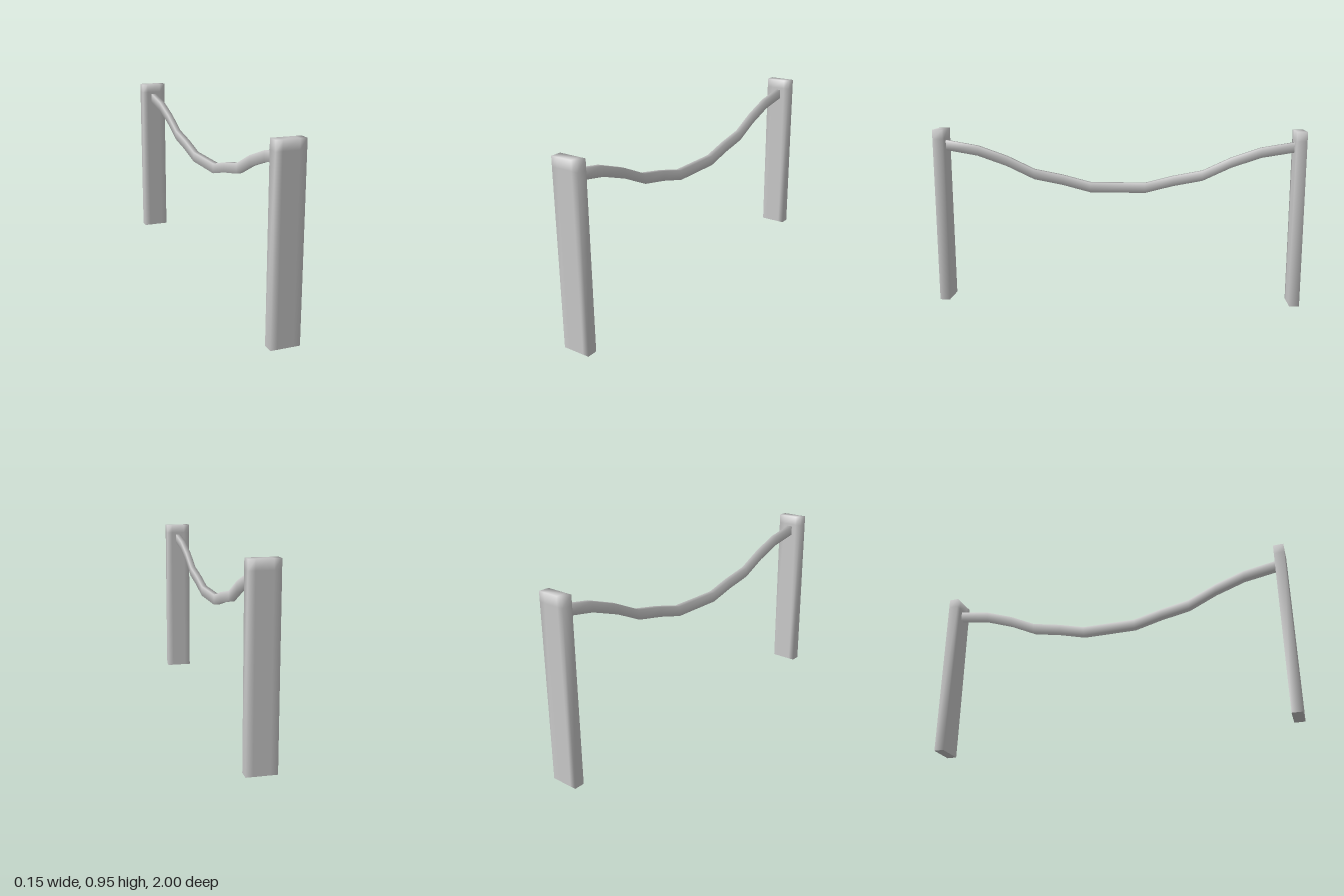
import * as THREE from 'three';
import { mergeVertices } from 'three/addons/utils/BufferGeometryUtils.js';

const material = new THREE.MeshStandardMaterial({ color: 0xcccccc });

// Share corners so that the shading runs softly over the edges
function soften(geometry) {
  geometry.deleteAttribute('normal');
  geometry.deleteAttribute('uv');
  geometry.clearGroups();
  const merged = mergeVertices(geometry, 1e-4);
  merged.computeVertexNormals();
  return merged;
}

// Upright slab with supporting loops near its edges and a crisp flat foot
function postGeometry() {
  const xs = [-0.074, -0.04, 0.04, 0.074];
  const ys = [0, 0.905, 0.955];
  const box = new THREE.BoxGeometry(3, 2, 0.055, 3, 2, 1);
  const p = box.attributes.position;
  for (let i = 0; i < p.count; i++) {
    p.setX(i, xs[Math.round(p.getX(i) + 1.5)]);
    p.setY(i, ys[Math.round(p.getY(i) + 1)]);
  }
  const geometry = soften(box).toNonIndexed();
  const pos = geometry.attributes.position;
  const nor = geometry.attributes.normal;
  const n = new THREE.Vector3();
  for (let i = 0; i < pos.count; i += 3) {
    const isFoot = [0, 1, 2].every((k) => pos.getY(i + k) < 1e-4);
    for (let k = i; k < i + 3; k++) {
      if (pos.getY(k) > 1e-4) continue;
      if (isFoot) n.set(0, -1, 0);
      else n.fromBufferAttribute(nor, k).setY(0).normalize();
      nor.setXYZ(k, n.x, n.y, n.z);
    }
  }
  return geometry;
}

// Sagging square bar: each ring of the box is moved onto a mirrored profile
function barGeometry() {
  const half = [[0.945, 0.866], [0.77, 0.836], [0.61, 0.78], [0.46, 0.709], [0.3, 0.678], [0.15, 0.639]];
  const path = [...half, ...half.map(([z, y]) => [-z, y]).reverse()];
  const last = path.length - 1;
  const box = new THREE.BoxGeometry(0.03, 0.053, last, 1, 1, last);
  const p = box.attributes.position;
  for (let i = 0; i < p.count; i++) {
    const [z, y] = path[Math.round(last / 2 - p.getZ(i))];
    p.setY(i, p.getY(i) + y);
    p.setZ(i, z);
  }
  return soften(box);
}

export function createModel() {
  const model = new THREE.Group();
  model.name = 'saggingRail';

  // Posts at both ends
  const post = postGeometry();
  for (const [name, side] of [['frontPost', 1], ['backPost', -1]]) {
    const mesh = new THREE.Mesh(post, material);
    mesh.name = name;
    mesh.position.z = side * 0.9725;
    mesh.rotation.y = side > 0 ? 0 : Math.PI;
    model.add(mesh);
  }

  // Bar between the posts
  const bar = new THREE.Mesh(barGeometry(), material);
  bar.name = 'saggingBar';
  model.add(bar);

  return model;
}
